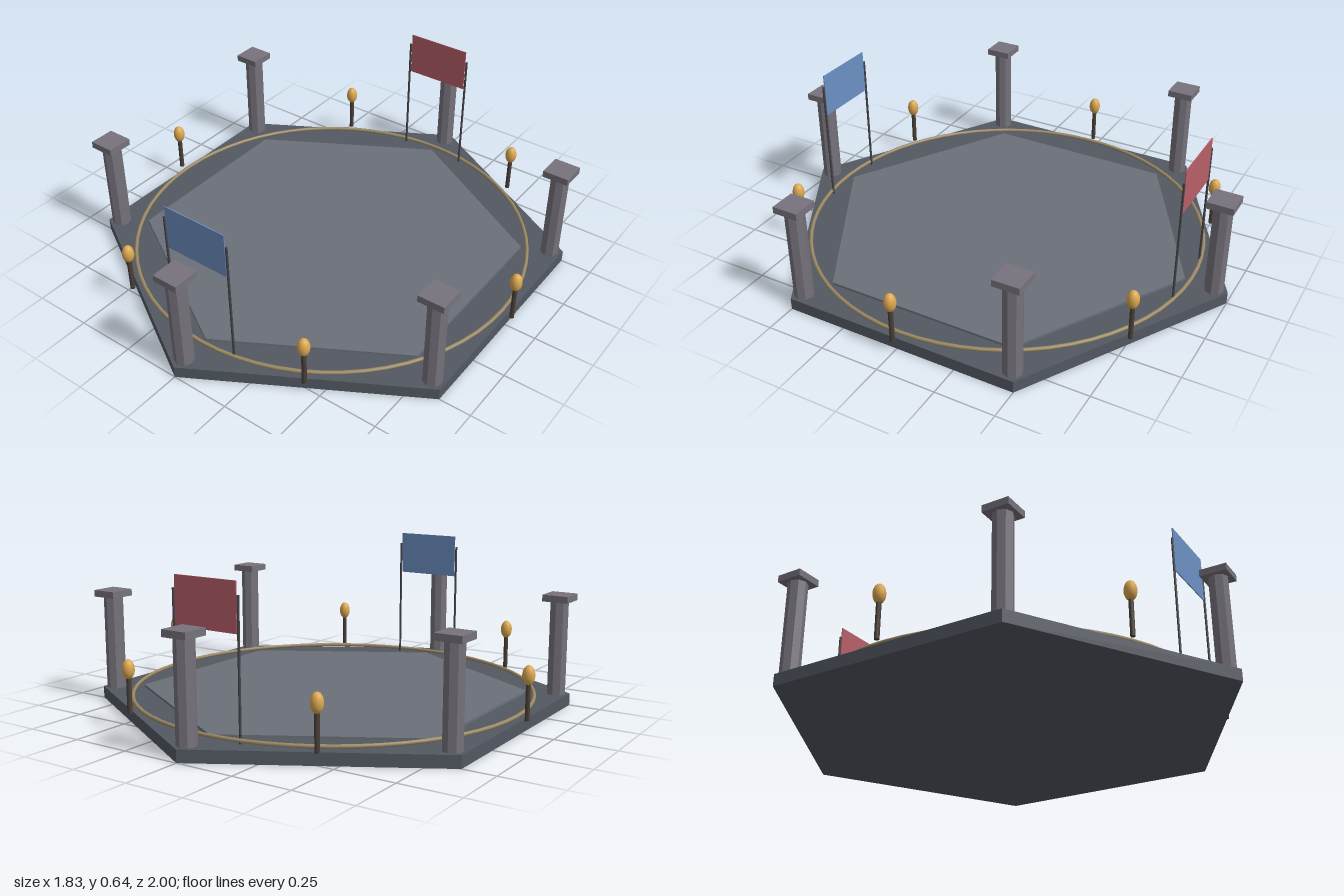
import * as THREE from 'three';

const mat = (color, flatShading = false) => new THREE.MeshStandardMaterial({ color, flatShading });

export function createModel() {
  const root = new THREE.Group();
  const stone = mat(0x535862, true), slab = mat(0x6b7079, true), pillarMat = mat(0x77727c, true);
  const brass = mat(0x9c8a66), wood = mat(0x4a4038), fire = mat(0xdca850), iron = mat(0x45454a);

  const add = (parent, name, geometry, material, x = 0, y = 0, z = 0) => {
    const mesh = new THREE.Mesh(geometry, material);
    mesh.name = name;
    mesh.position.set(x, y, z);
    parent.add(mesh);
    return mesh;
  };

  // Hexagonal platform with a slightly raised inner floor
  add(root, 'platform', new THREE.CylinderGeometry(1, 1, 0.05, 6), stone, 0, 0.025, 0);
  add(root, 'innerFloor', new THREE.CylinderGeometry(0.82, 0.82, 0.03, 6), slab, 0, 0.045, 0);

  // Thin ring around the floor
  const ring = add(root, 'boundaryRing', new THREE.TorusGeometry(0.845, 0.008, 8, 64), brass, 0, 0.065, 0);
  ring.rotation.x = Math.PI / 2;

  // Capped pillars at the corners, torches at the middle of each side
  const shaftGeo = new THREE.CylinderGeometry(0.04, 0.04, 0.4, 8);
  const capGeo = new THREE.BoxGeometry(0.11, 0.028, 0.11);
  const handleGeo = new THREE.CylinderGeometry(0.01, 0.01, 0.15, 8);
  const flameGeo = new THREE.SphereGeometry(0.025, 16, 12).scale(1, 1.6, 1);
  for (let i = 0; i < 6; i++) {
    const a = i * Math.PI / 3, b = a + Math.PI / 6;

    const pillar = new THREE.Group();
    pillar.name = 'pillar';
    pillar.position.set(0.942 * Math.sin(a), 0, 0.942 * Math.cos(a));
    add(pillar, 'pillarShaft', shaftGeo, pillarMat, 0, 0.25, 0);
    add(pillar, 'pillarCap', capGeo, pillarMat, 0, 0.461, 0);

    const torch = new THREE.Group();
    torch.name = 'torch';
    torch.position.set(0.89 * Math.sin(b), 0, 0.89 * Math.cos(b));
    add(torch, 'torchHandle', handleGeo, wood, 0, 0.13, 0);
    add(torch, 'torchFlame', flameGeo, fire, 0, 0.235, 0);
    root.add(pillar, torch);
  }

  // Banners on paired poles: blue at the front, red at the back
  const poleGeo = new THREE.CylinderGeometry(0.005, 0.005, 0.54, 8);
  const clothGeo = new THREE.BoxGeometry(0.285, 0.19, 0.004);
  for (const [side, color] of [[1, 0x6d90c4], [-1, 0xb85f68]]) {
    const banner = new THREE.Group();
    banner.name = side > 0 ? 'frontBanner' : 'backBanner';
    banner.position.z = side * 0.825;
    add(banner, 'bannerCloth', clothGeo, mat(color), 0, 0.545, 0);
    for (const x of [-0.15, 0.15]) add(banner, 'bannerPole', poleGeo, iron, x, 0.32, 0);
    root.add(banner);
  }

  return root;
}
